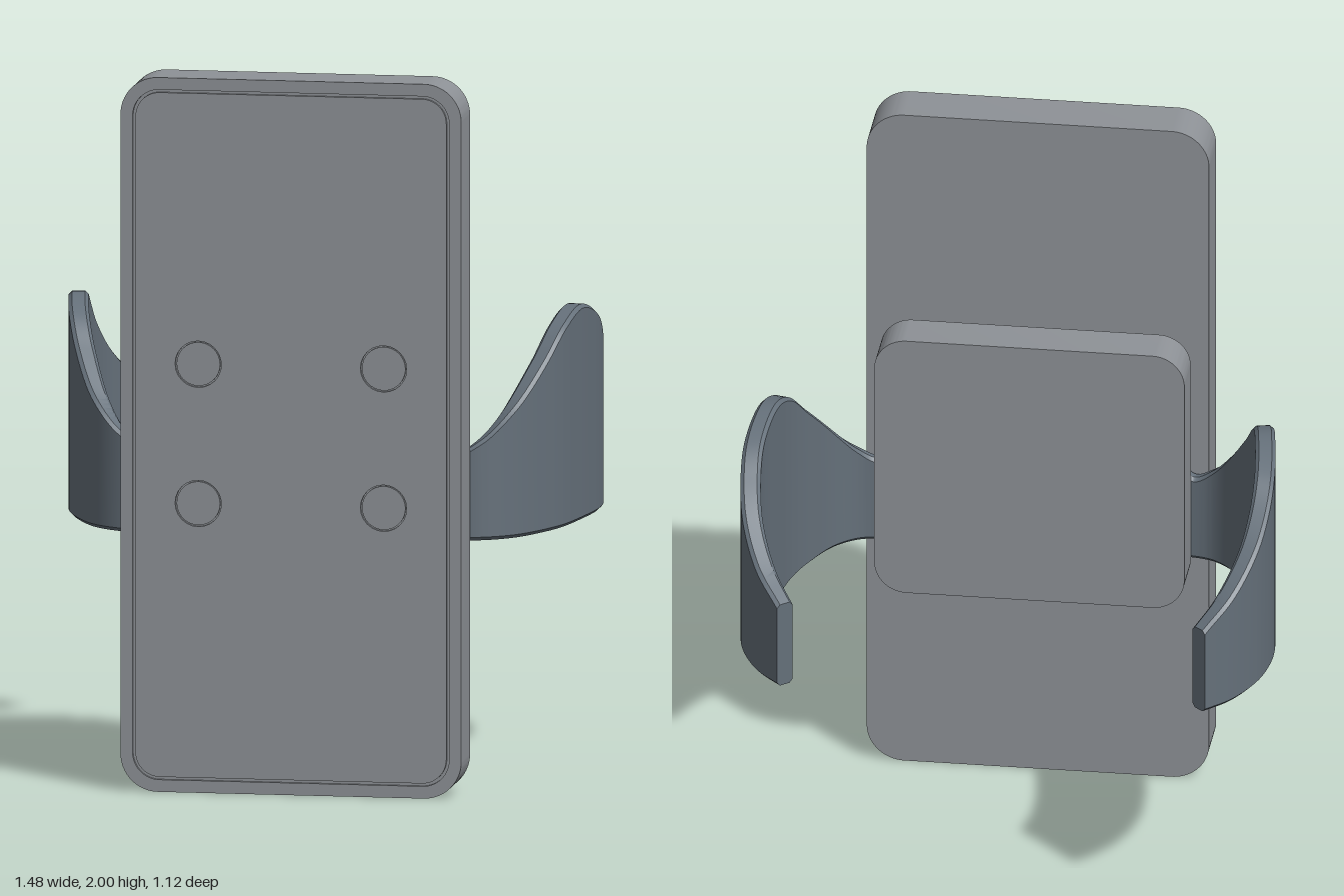
import * as THREE from 'three';
import { toCreasedNormals } from 'three/addons/utils/BufferGeometryUtils.js';

const plateMat = new THREE.MeshStandardMaterial({ color: 0x8e9297 });
const armMat = new THREE.MeshStandardMaterial({ color: 0x65707a });

// Rounded rectangle centred on the origin, drawn on a Shape or Path
function roundedRect(path, hw, hh, r) {
  const corners = [[hw - r, hh - r], [r - hw, hh - r], [r - hw, r - hh], [hw - r, r - hh]];
  path.moveTo(hw, r - hh);
  corners.forEach(([x, y], i) => path.absarc(x, y, r, i * Math.PI / 2, (i + 1) * Math.PI / 2));
  path.closePath();
  return path;
}

function slab(name, shape, y, z0, z1) {
  const geo = new THREE.ExtrudeGeometry(shape, { depth: z1 - z0, bevelEnabled: false, curveSegments: 12 });
  const mesh = new THREE.Mesh(toCreasedNormals(geo, 0.6), plateMat);
  mesh.name = name;
  mesh.position.set(0, y, z0);
  return mesh;
}

// Curved arm: a bevelled strip swept along a plan curve; y holds the top height
function armGeometry(side) {
  const bottom = 0.7, bevel = 0.01, steps = 110;
  const curve = new THREE.CatmullRomCurve3([
    [0.175, 1.3, 0.39], [0.33, 1.3, 0.39], [0.355, 1.27, 0.39], [0.405, 1.0, 0.39],
    [0.44, 0.95, 0.39], [0.50, 0.98, 0.375], [0.57, 1.06, 0.32], [0.635, 1.18, 0.2],
    [0.67, 1.265, 0.1], [0.694, 1.303, -0.03], [0.713, 1.26, -0.18], [0.71, 1.19, -0.27],
    [0.69, 1.11, -0.365], [0.64, 1.02, -0.47], [0.578, 0.95, -0.542],
  ].map(p => new THREE.Vector3(...p)));
  const pos = [], index = [];
  const tri = (a, b, c) => index.push(...(side > 0 ? [a, b, c] : [a, c, b]));
  for (let i = 0; i <= steps; i++) {
    const p = curve.getPoint(i / steps), d = curve.getTangent(i / steps);
    const len = Math.hypot(d.x, d.z), nx = -d.z / len, nz = d.x / len;
    const half = 0.02 + 0.008 * THREE.MathUtils.smoothstep(p.x, 0.45, 0.65);
    const w = half - bevel, lo = bottom + bevel, hi = p.y - bevel;
    const ring = [[half, lo], [half, hi], [w, p.y], [-w, p.y], [-half, hi], [-half, lo], [-w, bottom], [w, bottom]];
    for (const [o, y] of ring) pos.push(side * (p.x + nx * o), y, p.z + nz * o);
    if (i === 0) continue;
    for (let j = 0; j < 8; j++) {
      const a = (i - 1) * 8 + j, b = (i - 1) * 8 + (j + 1) % 8;
      tri(a, a + 8, b);
      tri(b, a + 8, b + 8);
    }
  }
  // End caps
  const e = steps * 8;
  for (let j = 1; j < 7; j++) {
    tri(0, j, j + 1);
    tri(e, e + j + 1, e + j);
  }
  const geo = new THREE.BufferGeometry();
  geo.setAttribute('position', new THREE.Float32BufferAttribute(pos, 3));
  geo.setIndex(index);
  return toCreasedNormals(geo, 0.6);
}

export function createModel() {
  const model = new THREE.Group();
  model.name = 'clampMount';

  // Front plate: body, rim and a face panel separated by a fine groove
  const outline = () => roundedRect(new THREE.Shape(), 0.478, 1, 0.105);
  const rim = outline();
  rim.holes.push(roundedRect(new THREE.Path(), 0.444, 0.966, 0.075));
  const panel = roundedRect(new THREE.Shape(), 0.436, 0.958, 0.068);
  const screws = [[-0.26, 0.2], [0.26, 0.2], [-0.26, -0.19], [0.26, -0.19]];
  for (const [x, y] of screws) {
    panel.holes.push(new THREE.Path().absarc(x, y, 0.065, 0, Math.PI * 2));
  }
  model.add(
    slab('frontPlateBody', outline(), 1, 0.412, 0.55),
    slab('frontPlateRim', rim, 1, 0.55, 0.56),
    slab('facePanel', panel, 1, 0.55, 0.56),
  );

  // Round screw heads sunk in the face panel
  for (const [x, y] of screws) {
    const head = new THREE.Mesh(new THREE.CylinderGeometry(0.061, 0.061, 0.008, 32), plateMat);
    head.name = 'screwHead';
    head.rotation.x = Math.PI / 2;
    head.position.set(x, 1 + y, 0.553);
    model.add(head);
  }

  // Smaller rear plate
  model.add(slab('rearPlate', roundedRect(new THREE.Shape(), 0.433, 0.39, 0.09), 1, 0.235, 0.368));

  // Mirrored gripping arms held between the plates
  for (const side of [1, -1]) {
    const arm = new THREE.Mesh(armGeometry(side), armMat);
    arm.name = side > 0 ? 'leftArm' : 'rightArm';
    model.add(arm);
  }
  return model;
}
